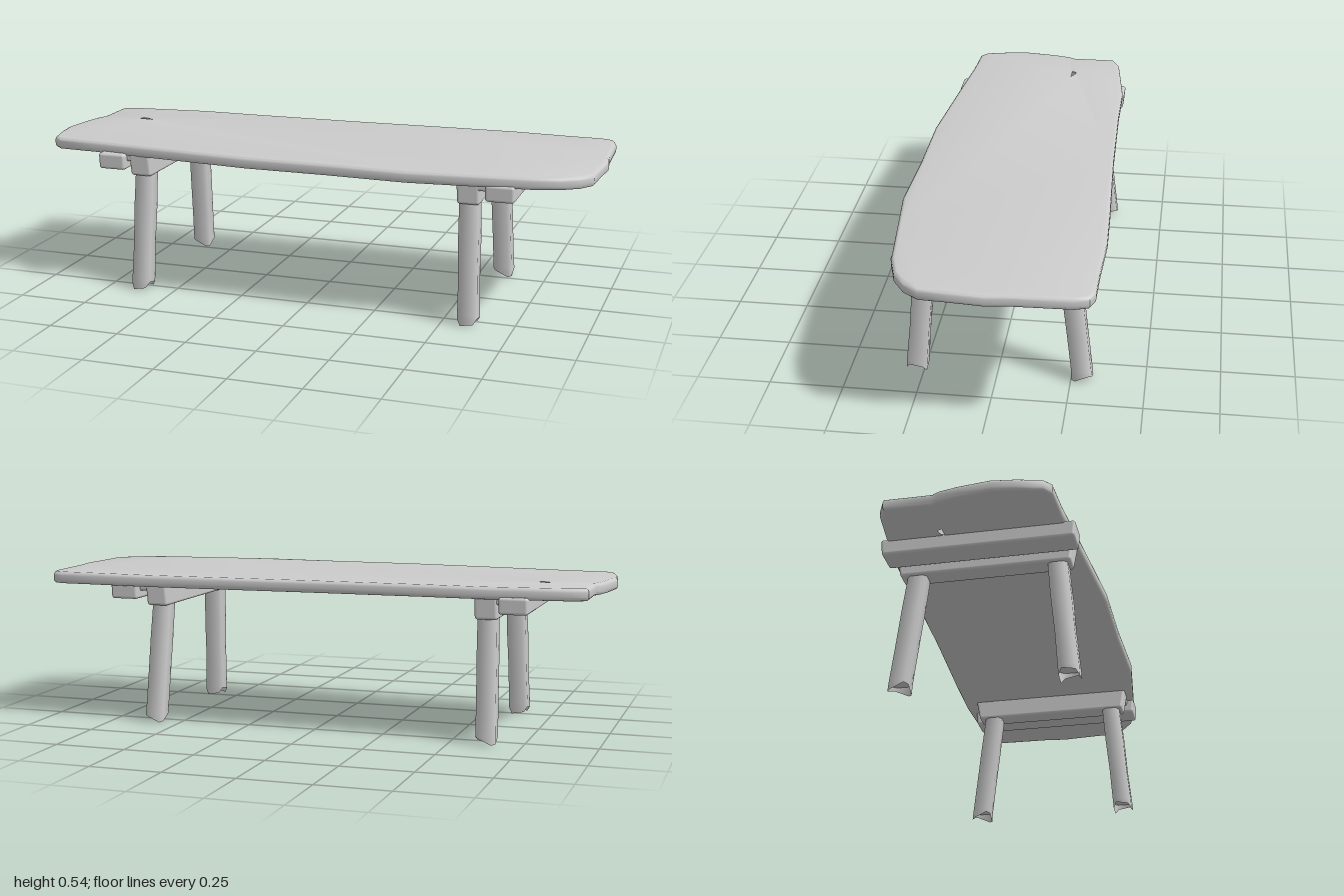
import * as THREE from 'three';
import { toCreasedNormals } from 'three/addons/utils/BufferGeometryUtils.js';
import { RoundedBoxGeometry } from 'three/addons/geometries/RoundedBoxGeometry.js';

const material = new THREE.MeshStandardMaterial({ color: 0xcccccc, side: THREE.DoubleSide });

function add(parent, name, geometry) {
  const mesh = new THREE.Mesh(geometry, material);
  mesh.name = name;
  parent.add(mesh);
  return mesh;
}

// Uneven plank with softened edges and a small knot hole; points are [x, z]
function tabletop() {
  const outline = [
    [-0.955, -0.27], [-0.9, -0.295], [-0.75, -0.313], [-0.62, -0.328], [-0.4, -0.328], [0, -0.337],
    [0.4, -0.354], [0.6, -0.36], [0.8, -0.352], [0.93, -0.35], [0.97, -0.335], [0.985, -0.29],
    [0.99, -0.1], [1, -0.02], [0.99, 0.1], [0.985, 0.19], [0.95, 0.24], [0.89, 0.28], [0.8, 0.306],
    [0.6, 0.327], [0.38, 0.35], [0.1, 0.341], [-0.2, 0.341], [-0.6, 0.306], [-0.8, 0.287],
    [-0.94, 0.28], [-0.97, 0.255], [-0.99, 0.17], [-1, 0.09], [-0.985, -0.02], [-0.968, -0.09], [-0.955, -0.11],
  ];
  const hole = [[-0.82, -0.105], [-0.805, -0.14], [-0.78, -0.14], [-0.735, -0.11], [-0.76, -0.1]];
  const toPoints = (list) => list.map(([x, z]) => new THREE.Vector2(x, -z));
  const shape = new THREE.Shape(toPoints(outline));
  shape.holes.push(new THREE.Path(toPoints(hole)));
  const geometry = new THREE.ExtrudeGeometry(shape, {
    depth: 0.016, bevelEnabled: true, bevelThickness: 0.013,
    bevelSize: 0.012, bevelOffset: -0.012, bevelSegments: 3,
  });
  geometry.rotateX(-Math.PI / 2).translate(0, 0.509, 0);
  return toCreasedNormals(geometry, 0.7);
}

// Rounded crossbar whose ends draw in towards the underside
function crossbar(width, y0, y1, z0, z1, taper) {
  const geometry = new RoundedBoxGeometry(width, y1 - y0, z1 - z0, 3, 0.01);
  const p = geometry.attributes.position;
  const h = y1 - y0;
  for (let i = 0; i < p.count; i++) {
    const down = 0.5 - p.getY(i) / h;
    p.setZ(i, p.getZ(i) * (1 - taper * down));
  }
  return geometry.translate(0, (y0 + y1) / 2, (z0 + z1) / 2);
}

// Splayed leg: chamfered square sections, ending in a ragged hollow foot
function leg(top, bottom, halfX, halfZ, phase) {
  const corners = [[1, 0.65], [0.65, 1], [-0.65, 1], [-1, 0.65], [-1, -0.65], [-0.65, -1], [0.65, -1], [1, -0.65]];
  const levels = [0.5, 0.42, 0.3, 0.17, 0.04, 0.015];
  const positions = [];
  const index = [];
  const n = corners.length;
  const section = (y, ragged) => corners.forEach(([cx, cz], i) => {
    const t = (0.42 - y) / 0.42;
    const jag = ragged ? 0.015 * Math.cos(Math.PI * i / 2 + phase) : 0;
    const swell = 1 + 0.03 * Math.sin(y * 23 + phase);
    positions.push(
      THREE.MathUtils.lerp(top[0], bottom[0], t) + cx * halfX * swell,
      y + jag,
      THREE.MathUtils.lerp(top[1], bottom[1], t) + cz * halfZ * swell);
  });
  levels.forEach((y, k) => section(y, k === levels.length - 1));
  for (let k = 0; k < levels.length - 1; k++) {
    for (let i = 0; i < n; i++) {
      const a = k * n + i, b = k * n + (i + 1) % n;
      index.push(a, b, a + n, b, b + n, a + n);
    }
  }
  // Recessed sole inside the ragged rim
  const sole = (levels.length - 2) * n;
  for (let i = 1; i < n - 1; i++) index.push(sole, sole + i, sole + i + 1);
  const geometry = new THREE.BufferGeometry();
  geometry.setAttribute('position', new THREE.Float32BufferAttribute(positions, 3));
  geometry.setIndex(index);
  return toCreasedNormals(geometry, 0.9);
}

export function createModel() {
  const model = new THREE.Group();
  model.name = 'bench';
  add(model, 'tabletop', tabletop());

  for (const end of [
    { side: 'left', legTop: 0.58, legBottom: 0.593, rail: 0.582, filler: 0.63, batten: 0.695 },
    { side: 'right', legTop: -0.615, legBottom: -0.626, rail: -0.617, filler: -0.66, batten: -0.715 },
  ]) {
    const support = new THREE.Group();
    support.name = end.side + 'Support';
    model.add(support);

    // Rail over the legs, outer batten, and thin web between them
    add(support, 'rail', crossbar(0.078, 0.423, 0.505, -0.308, 0.3, 0.05)).position.x = end.rail;
    add(support, 'batten', crossbar(0.1, 0.447, 0.505, -0.332, 0.322, 0.015)).position.x = end.batten;
    add(support, 'web', crossbar(0.06, 0.475, 0.505, -0.3, 0.295, 0)).position.x = end.filler;

    add(support, 'frontLeg', leg([end.legTop, 0.24], [end.legBottom, 0.276], 0.034, 0.034, 0.4));
    add(support, 'backLeg', leg([end.legTop, -0.238], [end.legBottom, -0.29], 0.034, 0.034, 2.2));
  }
  return model;
}
